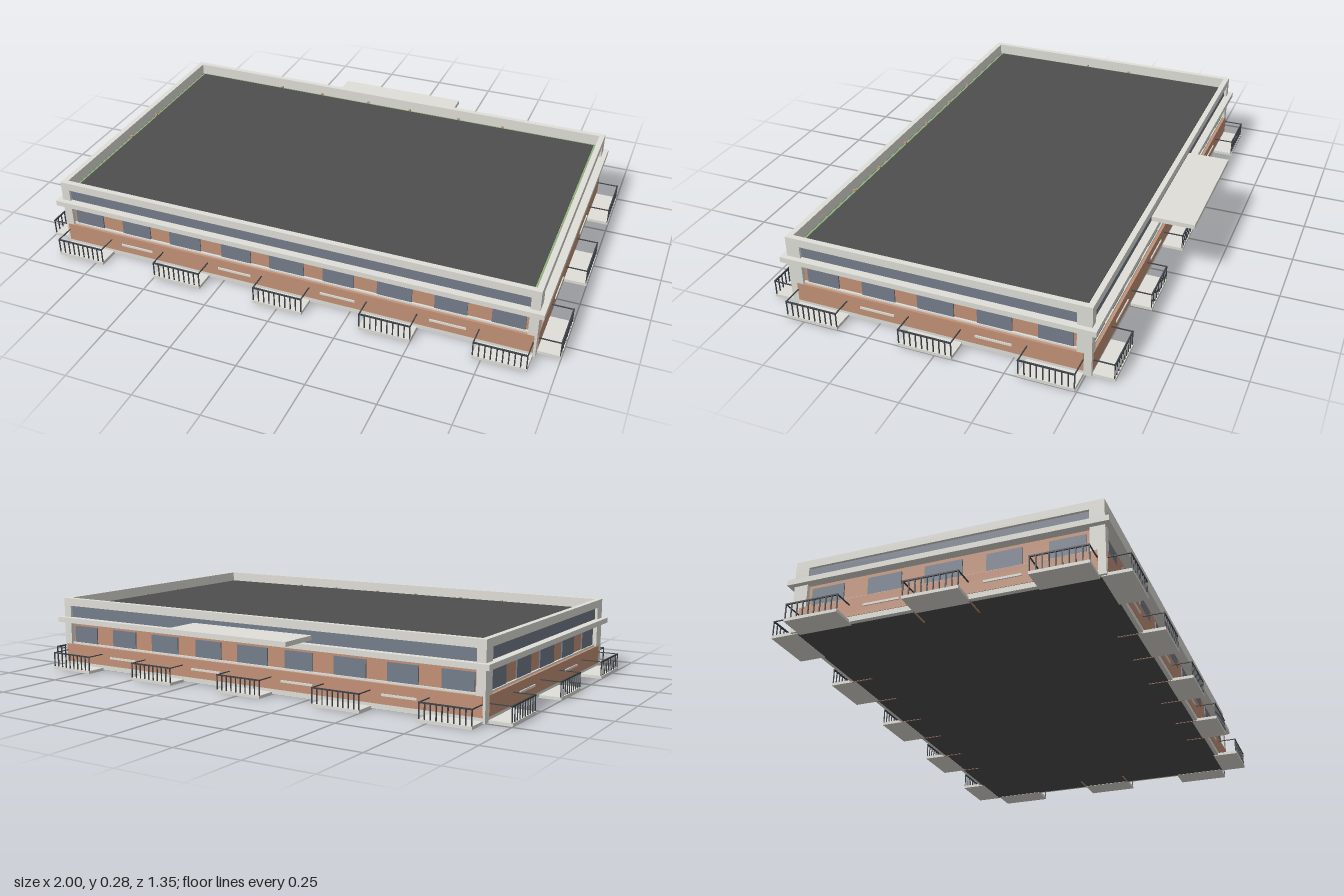
import * as THREE from 'three';

const mat = (name, color) => Object.assign(new THREE.MeshStandardMaterial({ color }), { name });
const concrete = mat('concrete', 0xe0dfd8);
const brick = mat('brick', 0xc49277);
const glass = mat('glass', 0x757e8c);
const roofing = mat('roofing', 0x4e4e4e);
const metal = mat('dark metal', 0x3f444a);
const green = mat('green trim', 0x8fb07a);

const HW = 0.917, HD = 0.558, ZC = 0.0375; // half width, half depth, centre in z

// box from min/max extents
function box(parent, name, m, x0, x1, y0, y1, z0, z1) {
  const mesh = new THREE.Mesh(new THREE.BoxGeometry(x1 - x0, y1 - y0, z1 - z0), m);
  mesh.position.set((x0 + x1) / 2, (y0 + y1) / 2, (z0 + z1) / 2);
  mesh.name = name;
  parent.add(mesh);
}

// box centred on the building axis
const slab = (parent, name, m, w, d, y0, y1) => box(parent, name, m, -w, w, y0, y1, -d, d);

// rectangular frame around the building
function ring(parent, name, m, w, d, t, y0, y1) {
  const rect = (a, b) => [[-a, -b], [a, -b], [a, b], [-a, b]].map(p => new THREE.Vector2(...p));
  const s = new THREE.Shape(rect(w, d));
  s.holes.push(new THREE.Path(rect(w - t, d - t).reverse()));
  const geo = new THREE.ExtrudeGeometry(s, { depth: y1 - y0, bevelEnabled: false });
  geo.rotateX(-Math.PI / 2);
  const mesh = new THREE.Mesh(geo, m);
  mesh.position.y = y0;
  mesh.name = name;
  parent.add(mesh);
}

// balcony slab with balusters along its outer edge
function balcony(parent, u, width, depth) {
  const g = new THREE.Group();
  g.name = 'balcony';
  g.position.x = u;
  parent.add(g);
  const h = width / 2, r = 0.002;
  box(g, 'balconySlab', concrete, -h, h, 0, 0.011, -0.02, depth);
  box(g, 'frontRail', metal, -h, h, 0.063, 0.068, depth - 0.006, depth - 0.001);
  for (const s of [-1, 1])
    box(g, 'sideRail', metal, s * (h - r) - r, s * (h - r) + r, 0.064, 0.067, -0.02, depth - 0.006);
  const n = 10;
  for (let i = 0; i < n; i++) {
    const x = -h + r + (i / (n - 1)) * (width - 2 * r);
    box(g, 'baluster', metal, x - r, x + r, 0.011, 0.063, depth - 0.005, depth - 0.002);
  }
}

// one facade: local z = 0 is the outer plane, facing +z
function facade(root, name, angle, half, dist, o) {
  const g = new THREE.Group();
  g.name = name;
  g.rotation.y = angle;
  g.position.set(Math.sin(angle) * dist, 0, ZC + Math.cos(angle) * dist);
  root.add(g);

  // window panes
  for (const [u, w] of o.windows)
    box(g, 'windowPane', glass, u - w / 2, u + w / 2, 0.1, 0.165, -0.018, -0.011);

  // lower brick wall and the pale band above it
  const edge = o.balconies.at(-1) + o.balconyWidth / 2;
  box(g, 'lowerBrickWall', brick, -edge, edge, 0.022, 0.092, -0.03, 0.002);
  box(g, 'sillBand', concrete, -half + 0.033, half - 0.033, 0.092, 0.099, -0.02, -0.008);

  // balconies, with a small ledge on the wall between them
  o.balconies.forEach((u, i) => {
    balcony(g, u, o.balconyWidth, o.depth);
    if (!i) return;
    const c = (o.balconies[i - 1] + u) / 2;
    box(g, 'wallLedge', concrete, c - 0.066, c + 0.066, 0.051, 0.059, -0.01, 0.006);
  });

  // ends of the partition walls, at the roof edge and on the underside
  for (const u of o.partitions) {
    box(g, 'partitionTop', brick, u - 0.004, u + 0.004, 0.225, 0.242, -0.034, -0.022);
    box(g, 'partitionFoot', brick, u - 0.003, u + 0.003, 0, 0.01, -0.09, -0.005);
  }
}

export function createModel() {
  const root = new THREE.Group();
  root.name = 'building';

  const body = new THREE.Group();
  body.name = 'body';
  body.position.z = ZC;
  root.add(body);

  // foundation and walls
  slab(body, 'undersidePlate', roofing, HW - 0.015, HD - 0.015, 0.001, 0.005);
  slab(body, 'foundation', concrete, HW, HD, 0.003, 0.022);
  slab(body, 'brickWall', brick, HW - 0.016, HD - 0.016, 0.02, 0.182);
  ring(body, 'upperGlazing', glass, HW - 0.01, HD - 0.01, 0.008, 0.19, 0.247);

  // corner pillars
  for (const sx of [-1, 1]) for (const sz of [-1, 1])
    box(body, 'cornerPillar', concrete, sx > 0 ? HW - 0.033 : -HW, sx > 0 ? HW : -HW + 0.033,
      0.02, 0.222, sz > 0 ? HD - 0.052 : -HD, sz > 0 ? HD : -HD + 0.052);

  // upper corner posts, kept behind the inner face of the parapet
  for (const sx of [-1, 1]) for (const sz of [-1, 1]) {
    const g = new THREE.Group();
    g.name = 'upperCornerPost';
    g.position.set(sx * HW, 0, sz * HD);
    body.add(g);
    const a = -sx * 0.033, b = -sz * 0.052, t = 0.02;
    box(g, 'postSide', concrete, Math.min(0, a), Math.max(0, a), 0.2, 0.247, Math.min(0, -sz * t), Math.max(0, -sz * t));
    box(g, 'postSide', concrete, Math.min(0, -sx * t), Math.max(0, -sx * t), 0.2, 0.247, Math.min(0, b), Math.max(0, b));
  }

  // cornice, parapet and roof
  ring(body, 'cornice', concrete, 0.936, 0.577, 0.06, 0.18, 0.2);
  ring(body, 'parapet', concrete, HW, HD, 0.021, 0.246, 0.276);
  ring(body, 'parapetInnerWall', concrete, HW - 0.017, HD - 0.017, 0.004, 0.225, 0.247);
  slab(body, 'roofGutter', roofing, 0.898, 0.539, 0.222, 0.232);
  slab(body, 'roofTrim', green, 0.891, 0.532, 0.224, 0.236);
  slab(body, 'roof', roofing, 0.88, 0.52, 0.226, 0.24);

  // entrance canopy at the back
  box(root, 'canopy', concrete, -0.26, 0.26, 0.212, 0.229, -0.675, -0.515);

  // facades
  const mirrored = list => list.flatMap(([u, w]) => (u ? [[-u, w], [u, w]] : [[0, w]]));
  const long = {
    windows: mirrored([[0, 0.134], [0.2, 0.118], [0.409, 0.128], [0.613, 0.117], [0.815, 0.117]]),
    balconies: [-0.813, -0.405, 0, 0.405, 0.813], balconyWidth: 0.19, depth: 0.079,
    partitions: [-0.5, -0.31, -0.095, 0.095, 0.31, 0.5],
  };
  const short = {
    windows: mirrored([[0, 0.135], [0.215, 0.125], [0.43, 0.123]]),
    balconies: [-0.432, 0, 0.432], balconyWidth: 0.198, depth: 0.083,
    partitions: [-0.099, 0.099],
  };
  facade(root, 'frontFacade', 0, HW, HD, long);
  facade(root, 'backFacade', Math.PI, HW, HD, long);
  facade(root, 'leftFacade', Math.PI / 2, HD, HW, short);
  facade(root, 'rightFacade', -Math.PI / 2, HD, HW, short);

  return root;
}
